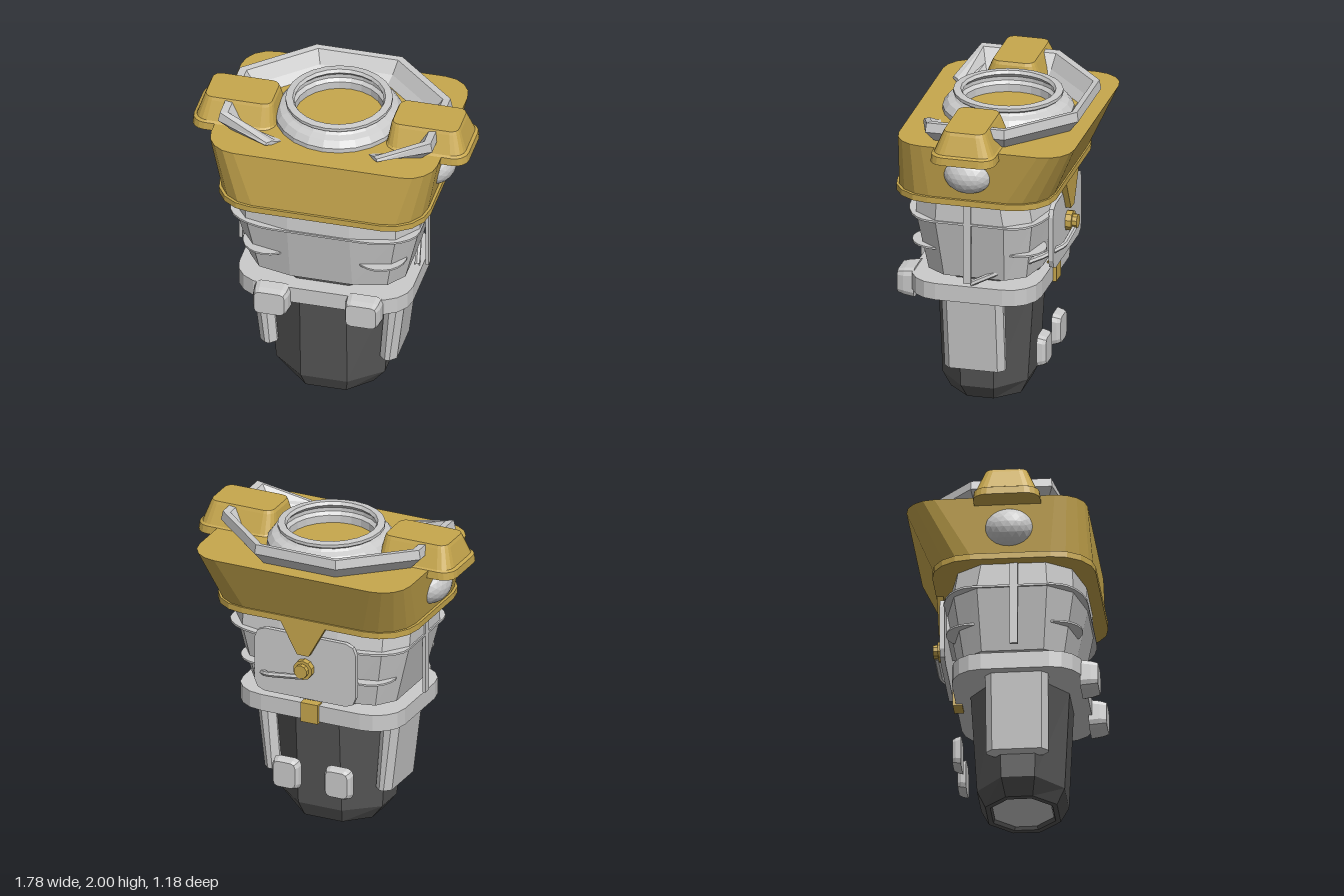
import * as THREE from 'three';

const mat = (color, side = THREE.FrontSide) => new THREE.MeshStandardMaterial({ color, side, flatShading: true });
const grey = mat(0xcccccc), gold = mat(0xc7a74d), dark = mat(0x555555);
const greyDouble = mat(0xcccccc, THREE.DoubleSide);

// Horizontal outline: a rectangle whose corners are elliptical arcs of seg steps
function outline(y, x0, x1, z0, z1, rx, rz = rx, seg = 4) {
  const ring = [];
  [[x1 - rx, z1 - rz], [x0 + rx, z1 - rz], [x0 + rx, z0 + rz], [x1 - rx, z0 + rz]].forEach(([cx, cz], q) => {
    for (let i = 0; i <= seg; i++) {
      const a = (q + i / seg) * Math.PI / 2;
      ring.push([cx + rx * Math.cos(a), y, cz + rz * Math.sin(a)]);
    }
  });
  return ring;
}

// Skin a stack of equal-length rings and cap both ends
function loft(rings) {
  const n = rings[0].length, last = rings.length - 1, idx = [];
  const centre = r => [0, 1, 2].map(k => r.reduce((s, p) => s + p[k], 0) / n);
  const pts = [...rings.flat(), centre(rings[0]), centre(rings[last])];
  const c0 = pts.length - 2, c1 = pts.length - 1;
  for (let i = 0; i < n; i++) {
    const j = (i + 1) % n;
    for (let k = 0; k < last; k++) {
      const a = k * n + i, b = k * n + j;
      idx.push(a, a + n, b, b, a + n, b + n);
    }
    idx.push(c0, i, j, c1, last * n + j, last * n + i);
  }
  const g = new THREE.BufferGeometry();
  g.setAttribute('position', new THREE.Float32BufferAttribute(pts.flat(), 3));
  g.setIndex(idx);
  const flat = g.toNonIndexed();
  flat.computeVertexNormals();
  return flat;
}

export function createModel() {
  const model = new THREE.Group();
  const add = (name, geo, material, x = 0, y = 0, z = 0) => {
    const m = new THREE.Mesh(geo, material);
    m.name = name;
    m.position.set(x, y, z);
    model.add(m);
    return m;
  };

  // Dark lower body with a recessed underside
  add('lowerBody', loft([
    outline(0.03, -0.22, 0.22, -0.10, 0.27, 0.12, 0.12, 1),
    outline(0, -0.23, 0.23, -0.11, 0.28, 0.12, 0.12, 1),
    outline(0, -0.27, 0.27, -0.14, 0.31, 0.14, 0.14, 1),
    outline(0.1, -0.35, 0.35, -0.19, 0.36, 0.2, 0.17, 1),
    outline(0.75, -0.40, 0.40, -0.23, 0.39, 0.25, 0.19, 1),
    outline(0.92, -0.43, 0.43, -0.29, 0.39, 0.25, 0.19, 1),
  ]), dark);
  add('undersidePlate', loft([0.02, 0.04].map(y => outline(y, -0.22, 0.22, -0.1, 0.27, 0.12, 0.12, 1))), grey);

  // Waist plate
  add('waistPlate', loft([0.75, 0.86].map(y => outline(y, -0.56, 0.56, -0.33, 0.5, 0.22, 0.2))), grey);
  add('waistTab', new THREE.BoxGeometry(0.12, 0.13, 0.06), gold, 0, 0.805, -0.32);

  // Grey torso
  add('torso', loft([
    outline(0.9, -0.5, 0.5, -0.3, 0.43, 0.3, 0.17, 2),
    outline(1.3, -0.6, 0.6, -0.37, 0.51, 0.4, 0.22, 2),
    outline(1.47, -0.6, 0.6, -0.34, 0.5, 0.4, 0.22, 2),
  ]), grey);
  add('upperRib', loft([1.29, 1.303].map(y => outline(y, -0.61, 0.61, -0.385, 0.52, 0.32, 0.2, 6))), grey);

  // Gold upper shell with its lower band
  add('upperShell', loft([
    outline(1.48, -0.66, 0.66, -0.43, 0.565, 0.25),
    outline(1.85, -0.73, 0.73, -0.595, 0.54, 0.19),
  ]), gold);
  add('shellBand', loft([1.45, 1.49].map(y => outline(y, -0.68, 0.68, -0.445, 0.58, 0.26))), gold);

  // Stepped collar ring
  const profile = [[0.4, 1.84], [0.4, 1.88], [0.37, 1.92], [0.33, 1.935], [0.315, 1.95], [0.335, 1.965],
    [0.335, 1.985], [0.29, 1.99], [0.278, 1.97], [0.3, 1.945], [0.3, 1.92], [0.28, 1.9], [0.28, 1.84]];
  add('collarRing', new THREE.LatheGeometry(profile.map(p => new THREE.Vector2(...p)), 24), greyDouble, 0, 0, -0.025)
    .scale.z = 1.03;

  // Angular guard rail around the back, dropping at both front ends
  const half = [[0.36, 0.43, 0.25], [0.69, 0.33, 1], [0.69, -0.18, 1], [0.28, -0.55, 1]];
  const path = [...half, ...half.slice().reverse().map(([x, z, k]) => [-x, z, k])];
  const section = [[0.01, 1.99], [0, 1.93], [0.07, 1.845], [0.15, 1.845], [0.1, 1.9], [0.05, 1.985]];
  add('guardRail', loft(path.map(([x, z, k]) => section.map(([d, y]) =>
    [x * (1 - d / 0.6), 1.845 + (y - 1.845) * k, z * (1 - d / 0.6)]))), greyDouble);

  // Tapered pad facing along z
  const pad = (w, h, depth) => loft([
    outline(0, -w / 2, w / 2, -h / 2, h / 2, 0.04, 0.04, 2),
    outline(depth * 0.6, -w / 2 + 0.005, w / 2 - 0.005, -h / 2 + 0.008, h / 2 - 0.008, 0.04, 0.04, 2),
    outline(depth, -w / 2 + 0.02, w / 2 - 0.02, -h / 2 + 0.02, h / 2 - 0.02, 0.03, 0.03, 2),
  ]).rotateX(Math.PI / 2);

  for (const s of [1, -1]) {
    const side = s > 0 ? 'left' : 'right';
    const span = (a, b) => s > 0 ? [a, b] : [-b, -a];

    // Shoulder pod and domed lamp below it
    add(side + 'Pod', loft([
      outline(1.8, ...span(0.35, 0.89), -0.155, 0.265, 0.09),
      outline(1.85, ...span(0.355, 0.885), -0.15, 0.26, 0.09),
      outline(1.86, ...span(0.36, 0.865), -0.14, 0.245, 0.08),
      outline(1.98, ...span(0.38, 0.825), -0.09, 0.195, 0.06),
      outline(2.0, ...span(0.39, 0.815), -0.08, 0.185, 0.05),
    ]), gold);
    add(side + 'Dome', new THREE.IcosahedronGeometry(1, 3), grey, s * 0.64, 1.665, 0.06)
      .scale.set(0.137, 0.13, 0.163);

    // Side strip, pylon and pads
    add(side + 'Strip', new THREE.BoxGeometry(0.02, 0.56, 0.05), grey, s * 0.6, 1.18, 0.082);
    add(side + 'Pylon', loft([
      outline(0.25, ...span(0.33, 0.44), -0.11, 0.28, 0.04, 0.04, 1),
      outline(0.76, ...span(0.37, 0.5), -0.11, 0.285, 0.04, 0.04, 1),
    ]), grey);
    add(side + 'FrontPad', pad(0.235, 0.195, 0.11), grey, s * 0.295, 0.775, 0.48);
    add(side + 'BackPad', pad(0.19, 0.21, 0.055), grey, s * 0.18, 0.34, -0.28).rotation.y = Math.PI;

    // Thin fins on the torso corners
    for (const z of [0.33, -0.2])
      add(side + 'Fin', new THREE.CylinderGeometry(0.165, 0.165, 0.012, 20), grey, s * 0.36, 1.08, z);
  }

  // Back panel on its mount
  add('backPanel', loft([-0.405, -0.375].map(y => outline(y, -0.35, 0.35, -0.215, 0.215, 0.07, 0.07, 2)))
    .rotateX(Math.PI / 2), grey, 0, 1.145, 0);
  add('panelMount', new THREE.BoxGeometry(0.4, 0.16, 0.08), grey, 0, 1.25, -0.345);

  // Gold bracket hanging to the pivot
  const bracket = new THREE.Shape([[-0.16, 1.46], [-0.04, 1.24], [0.04, 1.24], [0.16, 1.46]]
    .map(p => new THREE.Vector2(...p)));
  add('bracket', new THREE.ExtrudeGeometry(bracket, { depth: 0.04, bevelEnabled: false }), gold, 0, 0, -0.44);
  add('pivotBase', new THREE.CylinderGeometry(0.065, 0.065, 0.05, 10).rotateX(Math.PI / 2), gold, 0, 1.14, -0.42);
  add('pivotCap', new THREE.CylinderGeometry(0.045, 0.045, 0.04, 10).rotateX(Math.PI / 2), gold, 0, 1.14, -0.455);

  // Lever rod running from the pivot round the left side
  const bend = [[0, 1.1, -0.455], [0.24, 1.07, -0.45], [0.36, 1.03, -0.34], [0.5, 0.945, -0.08], [0.53, 0.87, 0.08]];
  const rod = new THREE.CurvePath();
  for (let i = 1; i < bend.length; i++)
    rod.add(new THREE.LineCurve3(new THREE.Vector3(...bend[i - 1]), new THREE.Vector3(...bend[i])));
  add('lever', new THREE.TubeGeometry(rod, 24, 0.018, 6), greyDouble);

  return model;
}
